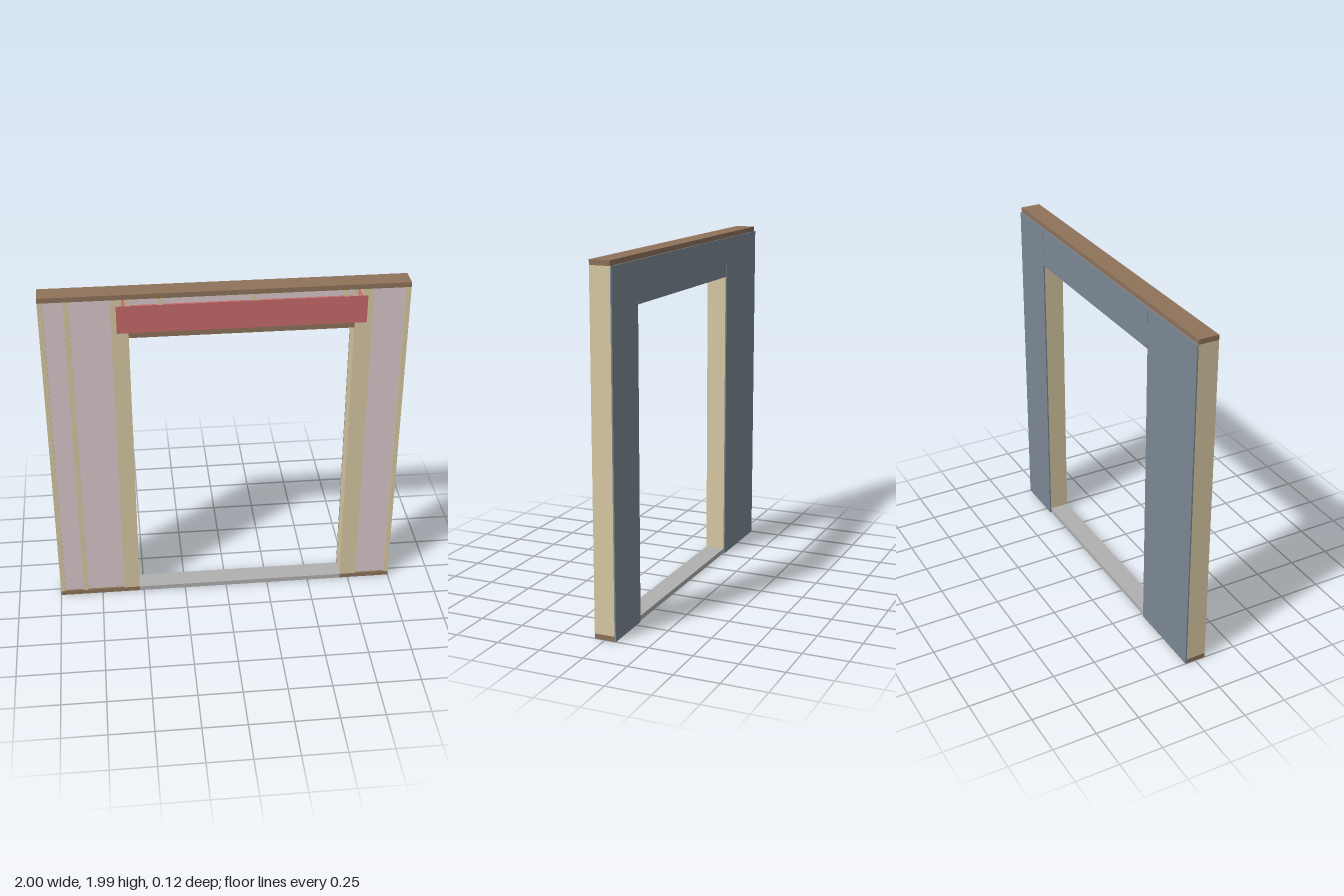
import * as THREE from 'three';

const BACK = -0.055, FRONT = 0.06;          // framing depth
const TOP = 1.99, T = 0.028;                // overall height, board thickness
const UNDER = TOP - T;                      // underside of top plate
const OPEN_L = -0.525, OPEN_R = 0.70;       // door opening
const HEAD_L = -0.588, HEAD_R = 0.767;      // header ends
const HEAD_BOTTOM = 1.762, HEAD_TOP = 1.923, SILL = 1.733;

const mat = color => new THREE.MeshStandardMaterial({ color, roughness: 0.9 });

export function createModel() {
  const model = new THREE.Group();
  model.name = 'framedWallWithOpening';
  const stud = mat(0xd9c9a3), plate = mat(0x8f725a), red = mat(0xc96a6a);
  const batt = mat(0xd9c9cb), panel = mat(0x7c8894), grey = mat(0xb0b0b0);

  // Box given by its limits on each axis
  function board(name, material, x0, x1, y0, y1, z0 = BACK, z1 = FRONT) {
    const mesh = new THREE.Mesh(new THREE.BoxGeometry(x1 - x0, y1 - y0, z1 - z0), material);
    mesh.position.set((x0 + x1) / 2, (y0 + y1) / 2, (z0 + z1) / 2);
    mesh.name = name;
    model.add(mesh);
  }

  // Plates and threshold
  board('topPlate', plate, -1, 1, UNDER, TOP);
  board('bottomPlateRight', plate, -1, OPEN_L, 0, T);
  board('bottomPlateLeft', plate, OPEN_R, 1, 0, T);
  board('threshold', grey, OPEN_L, OPEN_R, 0, T);

  // Full-height studs, including the king studs beside the header
  const studs = [[-1, -0.972], [-0.864, -0.836], [-0.618, HEAD_L], [HEAD_R, 0.797], [0.972, 1]];
  studs.forEach(([a, b]) => board('stud', stud, a, b, T, UNDER));

  // Paired jack studs carrying the header
  [[HEAD_L, OPEN_L], [OPEN_R, HEAD_R]].forEach(([a, b]) => {
    const mid = (a + b) / 2;
    board('jackStud', stud, a, mid, T, HEAD_BOTTOM);
    board('jackStud', stud, mid, b, T, HEAD_BOTTOM);
  });

  // Header with the flat board below it
  board('header', red, HEAD_L, HEAD_R, HEAD_BOTTOM, HEAD_TOP);
  board('headerSill', plate, OPEN_L, OPEN_R, SILL, HEAD_BOTTOM);

  // Short cripple studs above the header
  const cripples = [[HEAD_L, -0.558], [-0.54, -0.512], [-0.364, -0.336], [0.136, 0.164],
    [0.636, 0.664], [0.684, 0.712], [0.739, HEAD_R]];
  cripples.forEach(([a, b]) => board('crippleStud', stud, a, b, HEAD_TOP, UNDER));

  // Insulation set slightly back in the cavities
  const battFront = FRONT - 0.012;
  [[-0.972, -0.864], [-0.836, -0.618], [0.797, 0.972]].forEach(([a, b]) =>
    board('insulation', batt, a, b, T, UNDER, BACK, battFront));
  for (let i = 1; i < 5; i++) {
    board('headerInsulation', batt, cripples[i][1], cripples[i + 1][0], HEAD_TOP, UNDER, BACK, battFront);
  }

  // Thin sheathing on the back
  const skin = BACK - 0.008;
  board('sheathingRight', panel, -1, OPEN_L, 0, UNDER, skin, BACK);
  board('sheathingHead', panel, OPEN_L + 0.002, OPEN_R - 0.002, SILL, UNDER, skin, BACK);
  board('sheathingLeft', panel, OPEN_R, 1, 0, UNDER, skin, BACK);

  return model;
}
